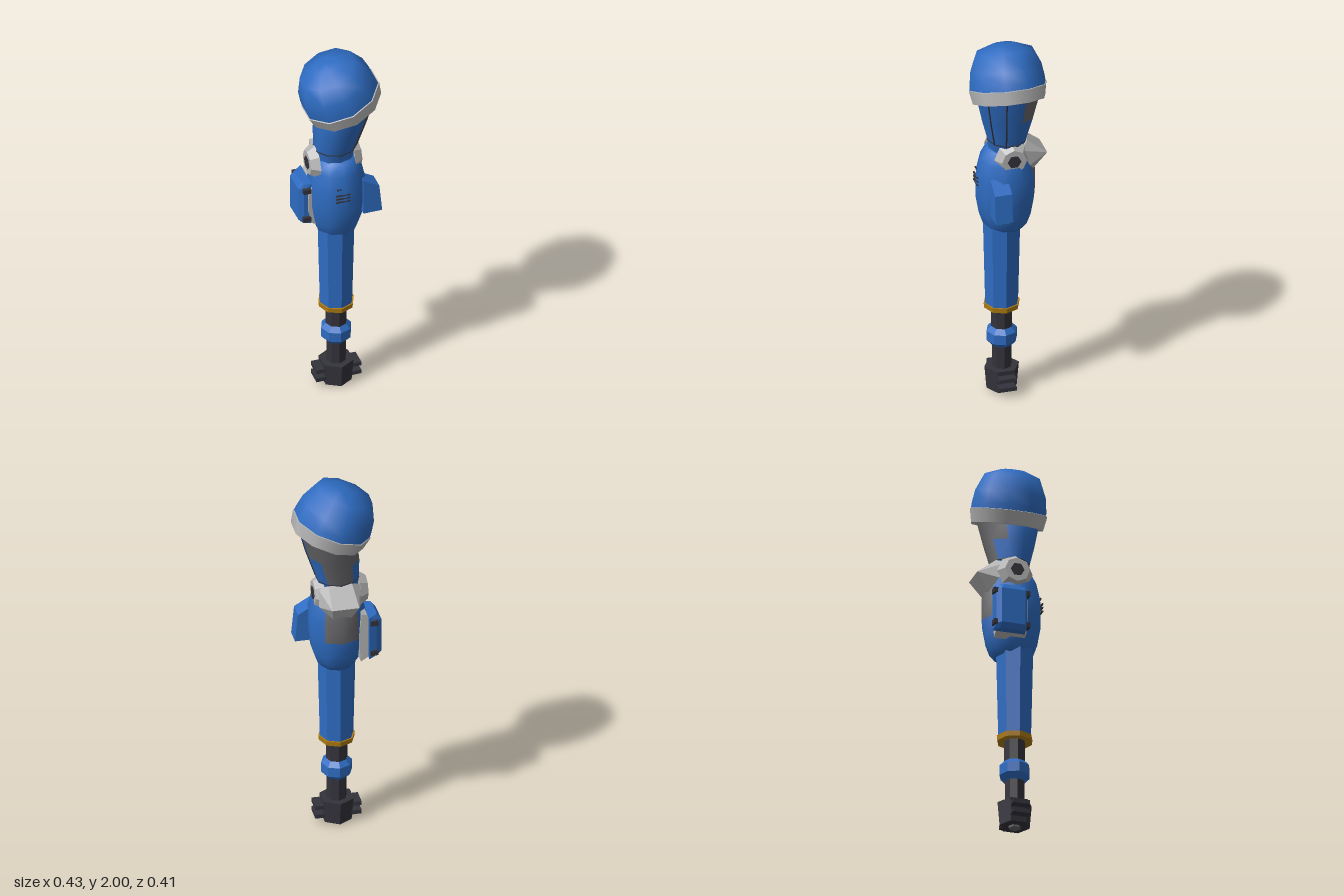
import * as THREE from 'three';
import { ConvexGeometry } from 'three/addons/geometries/ConvexGeometry.js';

const mat = (name, color) => {
  const m = new THREE.MeshStandardMaterial({ color });
  m.name = name;
  return m;
};

export function createModel() {
  const blue = mat('blue paint', 0x2e6cc2);
  const light = mat('light grey armour', 0xb6b6b6);
  const grey = mat('dark grey panel', 0x68686c);
  const black = mat('black metal', 0x34333b);
  const gold = mat('gold ring', 0xb07d12);
  const cyan = mat('cyan glow', 0x22b4c4);
  const model = new THREE.Group();
  model.name = 'mechanicalArm';

  const add = (name, geo, material, x = 0, y = 0, z = 0, parent = model) => {
    const m = new THREE.Mesh(geo, material);
    m.name = name;
    m.position.set(x, y, z);
    parent.add(m);
    return m;
  };
  const flat = (geo) => {
    const g = geo.index ? geo.toNonIndexed() : geo;
    g.computeVertexNormals();
    return g;
  };
  const box = (name, w, h, d, material, x, y, z) => add(name, new THREE.BoxGeometry(w, h, d), material, x, y, z);
  const hull = (name, pts, material) =>
    add(name, flat(new ConvexGeometry(pts.map((p) => new THREE.Vector3(...p)))), material);

  // Smooth ten-sided shell through rings { x, y, z, rx, rz, tilt }; isGrey picks the panel faces
  const SIDES = 10;
  const ringPoint = (r, phi, grow = 0) => {
    const s = Math.sin(phi) * (r.rx + grow);
    const tilt = r.tilt || 0;
    return new THREE.Vector3(r.x + s * Math.cos(tilt), r.y + s * Math.sin(tilt), r.z + Math.cos(phi) * (r.rz + grow));
  };
  const shell = (name, rings, isGrey) => {
    const pos = [];
    const faces = [[], []];
    rings.forEach((r, k) => {
      for (let i = 0; i < SIDES; i++) {
        pos.push(...ringPoint(r, (i / SIDES) * Math.PI * 2).toArray());
        if (k === rings.length - 1) continue;
        const a = k * SIDES + i, b = k * SIDES + ((i + 1) % SIDES);
        faces[isGrey(k, i) ? 1 : 0].push(a, b, b + SIDES, a, b + SIDES, a + SIDES);
      }
    });
    const g = new THREE.BufferGeometry();
    g.setAttribute('position', new THREE.Float32BufferAttribute(pos, 3));
    g.setIndex([...faces[0], ...faces[1]]);
    g.addGroup(0, faces[0].length, 0);
    g.addGroup(faces[0].length, faces[1].length, 1);
    g.computeVertexNormals();
    return add(name, g, [blue, grey]);
  };

  // Lower shaft, wrist and forearm share one axis
  const AX = -0.015, AZ = 0.025;
  const rod = (name, rTop, rBottom, y0, y1, sides, material) =>
    add(name, flat(new THREE.CylinderGeometry(rTop, rBottom, y1 - y0, sides)), material, AX, (y0 + y1) / 2, AZ);
  rod('hand', 0.091, 0.08, 0.01, 0.135, 6, black);
  rod('handSocket', 0.032, 0.032, 0, 0.012, 6, grey);
  for (const y of [0.05, 0.1]) {
    for (const s of [-1, 1]) box('handFin', 0.07, 0.022, 0.09, black, AX + s * 0.085, y, AZ);
  }
  rod('lowerShaft', 0.052, 0.052, 0.13, 0.28, 8, black);
  rod('upperShaft', 0.056, 0.056, 0.35, 0.5, 8, black);
  const joint = [[0, 0.255], [0.052, 0.258], [0.08, 0.288], [0.08, 0.342], [0.052, 0.372], [0, 0.375]];
  add('wristJoint', flat(new THREE.LatheGeometry(joint.map((p) => new THREE.Vector2(...p)), 8)), blue, AX, 0, AZ);
  rod('goldRing', 0.095, 0.092, 0.48, 0.507, 8, gold);
  rod('forearm', 0.099, 0.087, 0.505, 1.0, 8, blue);

  // Elbow housing with a grey back panel
  const body = [
    [0.94, 0], [0.945, 0.085], [0.98, 0.112], [1.04, 0.132], [1.14, 0.149],
    [1.26, 0.149], [1.35, 0.129], [1.41, 0.1], [1.42, 0],
  ].map(([y, r]) => ({ x: -0.01, y, z: 0.008, rx: r, rz: r * 1.05 }));
  shell('elbowHousing', body, (k, i) => k >= 4 && k <= 6 && (i === 4 || i === 5));

  // Front vent slits
  for (const y of [1.215, 1.235, 1.255]) box('ventSlit', 0.075, 0.006, 0.008, black, -0.023, y, 0.16);
  for (const x of [-0.05, -0.035]) box('ventDot', 0.008, 0.006, 0.008, black, x, 1.287, 0.153);

  // Upper arm: level at the elbow, tilted where it meets the shoulder
  const TILT = 0.367;
  const arm = [
    { x: -0.015, y: 1.4, z: 0, rx: 0.102, rz: 0.094 },
    { x: -0.013, y: 1.46, z: 0, rx: 0.11, rz: 0.1 },
    { x: 0.012, y: 1.59, z: 0.002, rx: 0.14, rz: 0.135, tilt: TILT * 0.5 },
    { x: 0.04, y: 1.73, z: 0.003, rx: 0.165, rz: 0.168, tilt: TILT },
  ];
  shell('upperArm', arm, (k, i) => (k === 2 ? i >= 3 && i <= 6 : k === 1 && (i === 4 || i === 5)));

  // Dark panel seams and the collar line
  const seam = (name, pts, closed = false) =>
    add(name, new THREE.TubeGeometry(new THREE.CatmullRomCurve3(pts, closed, 'catmullrom', 0), 30, 0.004, 4, closed), black);
  const deg = Math.PI / 180;
  for (const a of [36, 72]) seam('panelSeam', arm.slice(1).map((r) => ringPoint(r, a * deg, 0.001)));
  seam('panelSeamTop', [36, 72].map((a) => ringPoint(arm[3], a * deg, 0.001)));
  const collar = [];
  for (let i = 0; i < SIDES; i++) collar.push(ringPoint(arm[1], i * 36 * deg));
  seam('collarLine', collar, true);

  // Shoulder cap with its light rim
  const shoulder = new THREE.Group();
  shoulder.name = 'shoulder';
  shoulder.position.set(0.04, 1.707, 0.002);
  shoulder.rotation.z = TILT;
  shoulder.scale.x = 1.03;
  model.add(shoulder);
  const lathe = (pts) => new THREE.LatheGeometry(pts.map((p) => new THREE.Vector2(...p)), SIDES);
  add('shoulderDome', lathe([[0.2, 0.065], [0.198, 0.1], [0.188, 0.165], [0.147, 0.256], [0.06, 0.289], [0, 0.293]]), blue, 0, 0, 0, shoulder);
  add('shoulderRim', lathe([[0.191, 0], [0.205, 0.07]]), light, 0, 0, 0, shoulder);
  add('shoulderRimLip', lathe([[0.205, 0.07], [0.195, 0.074]]), light, 0, 0, 0, shoulder);
  add('shoulderUnderside', lathe([[0, 0], [0.191, 0]]), light, 0, 0, 0, shoulder);

  // Pivot discs on both sides of the elbow
  for (const s of [-1, 1]) {
    const pivot = new THREE.Group();
    pivot.name = s > 0 ? 'leftPivot' : 'rightPivot';
    pivot.position.set(-0.023 + s * 0.115, 1.38, -0.005);
    pivot.rotation.z = -s * Math.PI / 2;
    model.add(pivot);
    add('pivotDisc', flat(new THREE.CylinderGeometry(0.065, 0.094, 0.045, 8)), light, 0, 0, 0, pivot);
    add('pivotBolt', flat(new THREE.CylinderGeometry(0.036, 0.036, 0.012, 6)), black, 0, 0.02, 0, pivot);
  }

  // Faceted guard behind the elbow
  hull('elbowGuard', [
    [-0.12, 1.43, -0.05], [0.1, 1.43, -0.05], [-0.07, 1.46, -0.09], [0.05, 1.46, -0.09],
    [-0.085, 1.375, -0.195], [0.055, 1.375, -0.195], [-0.12, 1.34, -0.09], [0.1, 1.34, -0.09],
    [-0.06, 1.28, -0.125], [0.035, 1.28, -0.125],
  ], light);

  // Left thruster pod with a glowing base
  const podSide = [[0.1, 1.285], [0.185, 1.235], [0.2, 1.08], [0.1, 1.08]];
  hull('leftPod', podSide.flatMap(([x, y]) => [[x, y, 0.028], [x, y, 0.118]]), blue);
  box('podGlow', 0.05, 0.008, 0.06, cyan, 0.165, 1.077, 0.073);

  // Curved backing plate, cover and clasps on the right side
  const plate = new THREE.Shape([
    [-0.115, 1.285], [-0.145, 1.275], [-0.168, 1.2], [-0.17, 1.11], [-0.15, 1.03], [-0.11, 1.005], [-0.1, 1.15],
  ].map((p) => new THREE.Vector2(...p)));
  add('backingPlate', flat(new THREE.ExtrudeGeometry(plate, { depth: 0.16, bevelEnabled: false })), light, 0, 0, -0.115);
  const cover = [];
  for (const [y, trim] of [[1.025, 0.02], [1.05, 0], [1.24, 0], [1.27, 0.02]]) {
    cover.push([-0.15, y, -0.135], [-0.15, y, 0.036], [-0.19, y, -0.125 + trim], [-0.19, y, 0.036 - trim / 2],
      [-0.218 + trim, y, -0.105 + trim], [-0.215 + trim, y, 0.02 - trim]);
  }
  hull('rightCover', cover, blue);
  for (const y of [1.06, 1.235]) {
    for (const z of [-0.128, 0.04]) box('coverClasp', 0.04, 0.026, 0.024, black, -0.177, y, z);
  }
  return model;
}
